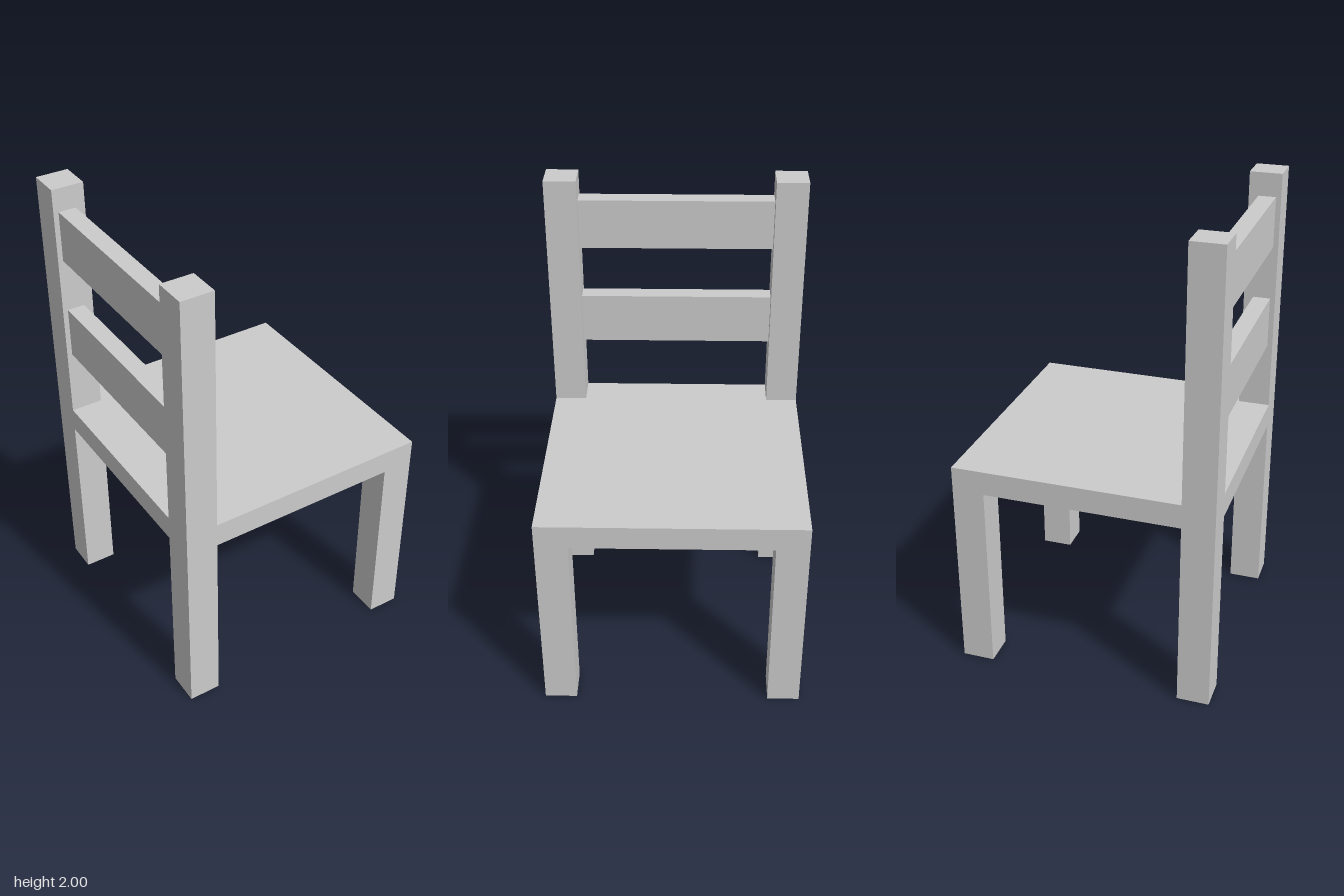
import * as THREE from 'three';

const HALF = 0.557;      // half width of the square footprint
const POST = 0.138;      // leg thickness
const SEAT_BOTTOM = 0.835;
const SEAT_TOP = 0.94;
const INNER = HALF - POST;

export function createModel() {
  const chair = new THREE.Group();
  chair.name = 'chair';
  const material = new THREE.MeshStandardMaterial({ color: 0xcccccc, flatShading: true });

  const add = (name, geometry) => {
    const mesh = new THREE.Mesh(geometry, material);
    mesh.name = name;
    chair.add(mesh);
    return mesh;
  };

  // Box given by its extents along each axis
  const addBox = (name, [x0, x1], [y0, y1], [z0, z1]) =>
    add(name, new THREE.BoxGeometry(x1 - x0, y1 - y0, z1 - z0))
      .position.set((x0 + x1) / 2, (y0 + y1) / 2, (z0 + z1) / 2);

  // Seat slab, notched at the two corners where the tall posts pass through
  const outline = new THREE.Shape([
    [-HALF, -INNER], [-INNER, -INNER], [-INNER, -HALF], [HALF, -HALF],
    [HALF, HALF], [-INNER, HALF], [-INNER, INNER], [-HALF, INNER],
  ].map(([x, y]) => new THREE.Vector2(x, y)));
  const seat = new THREE.ExtrudeGeometry(outline, { depth: SEAT_TOP - SEAT_BOTTOM, bevelEnabled: false });
  seat.rotateX(-Math.PI / 2);
  add('seat', seat).position.y = SEAT_BOTTOM;

  // Tall backrest posts on the -x side, short legs on the +x side
  for (const [side, z] of [['Front', [INNER, HALF]], ['Rear', [-HALF, -INNER]]]) {
    addBox(`backPost${side}`, [-HALF, -INNER], [0, 2], z);
    addBox(`leg${side}`, [INNER, HALF], [0, SEAT_BOTTOM], z);
  }

  // Backrest slats between the posts
  addBox('lowerSlat', [-0.535, -0.46], [1.228, 1.45], [-INNER, INNER]);
  addBox('upperSlat', [-0.535, -0.46], [1.682, 1.9], [-INNER, INNER]);

  return chair;
}
